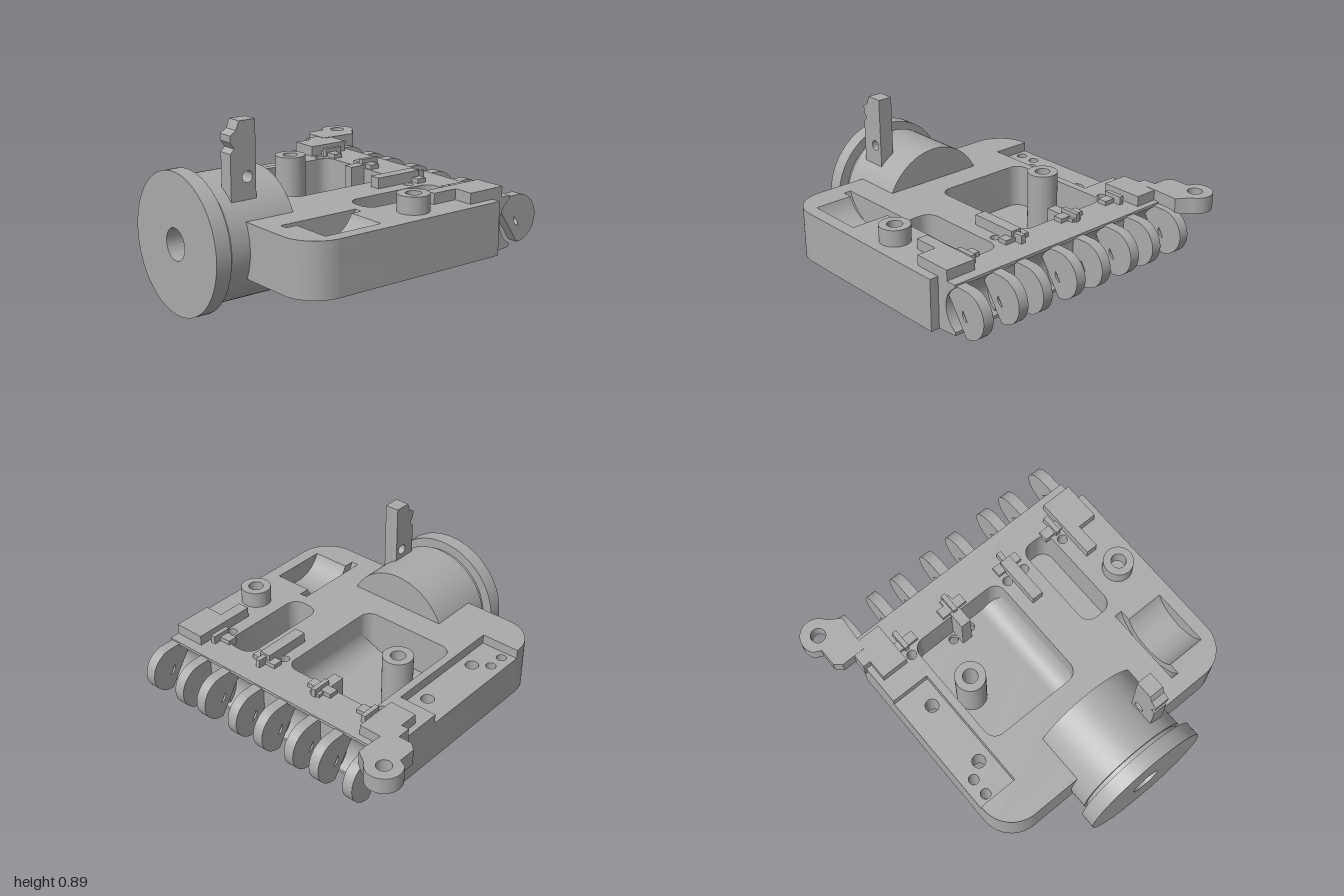
import * as THREE from 'three';
import { toCreasedNormals } from 'three/addons/utils/BufferGeometryUtils.js';

// Local frame: u = x, v = z; the whole assembly is turned 45 degrees at the end.
export function createModel() {
  const grey = new THREE.MeshStandardMaterial({ color: 0xaaaaaa });
  grey.name = 'plain grey';
  const model = new THREE.Group();
  model.name = 'hingedMechanism';
  const body = new THREE.Group();
  body.name = 'assembly';
  body.rotation.y = -Math.PI / 4;
  model.add(body);

  const add = (name, geo) => {
    const mesh = new THREE.Mesh(geo, grey);
    mesh.name = name;
    body.add(mesh);
    return mesh;
  };
  const extrude = (shape, depth) =>
    new THREE.ExtrudeGeometry(shape, { depth, bevelEnabled: false, curveSegments: 24 });
  // plan outline (u, -v) raised from y0 to y1
  const plan = (name, shape, y0, y1) =>
    add(name, toCreasedNormals(extrude(shape, y1 - y0).rotateX(-Math.PI / 2).translate(0, y0, 0), 0.6));
  // side profile (-v, y) swept from u0 to u1
  const sweep = (name, shape, u0, u1) =>
    add(name, toCreasedNormals(extrude(shape, u1 - u0).rotateY(Math.PI / 2).translate(u0, 0, 0), 0.6));
  const poly = (pts) => new THREE.Shape(pts.map(([u, v]) => new THREE.Vector2(u, -v)));
  const side = (pts) => new THREE.Shape(pts.map(([v, y]) => new THREE.Vector2(-v, y)));
  const circle = (x, y, r) => new THREE.Path().absarc(x, y, r, 0, Math.PI * 2, false);
  const drill = ([u, v, r]) => circle(u, -v, r);
  const box = (name, u0, u1, v0, v1, y0, y1) =>
    add(name, new THREE.BoxGeometry(u1 - u0, y1 - y0, v1 - v0)
      .translate((u0 + u1) / 2, (y0 + y1) / 2, (v0 + v1) / 2));
  const roundRect = (u0, u1, v0, v1, r) => {
    const s = new THREE.Shape();
    s.absarc(u1 - r, -v0 - r, r, 0, Math.PI / 2);
    s.absarc(u0 + r, -v0 - r, r, Math.PI / 2, Math.PI);
    s.absarc(u0 + r, -v1 + r, r, Math.PI, Math.PI * 1.5);
    s.absarc(u1 - r, -v1 + r, r, Math.PI * 1.5, Math.PI * 2);
    return s;
  };

  // Body plan: rounded front corners, optional side notch for the pad
  const U0 = -0.65, U1 = 0.745, V0 = -0.34, V1 = 0.75, R = 0.17, TOP = 0.458;
  const outline = (notched) => {
    const s = new THREE.Shape();
    s.moveTo(U1, -V0);
    s.lineTo(U0, -V0);
    if (notched) {
      s.lineTo(U0, 0.09);
      s.lineTo(-0.45, 0.09);
      s.lineTo(-0.45, -0.566);
      s.lineTo(U0, -0.566);
    }
    s.absarc(U0 + R, -V1 + R, R, Math.PI, Math.PI * 1.5);
    s.absarc(U1 - R, -V1 + R, R, Math.PI * 1.5, Math.PI * 2);
    return s;
  };
  const hinge = [-0.44, 0.157, 0.26, 0.508].map((u) => [u, -0.217, 0.024]);
  const floorHoles = [-0.194, -0.09].map((u) => [u, -0.217, 0.024]);
  const pad = [[-0.516, 0.03, 0.033], [-0.516, 0.382, 0.033]];
  const padSmall = [[-0.59, 0.435, 0.025], [-0.59, 0.523, 0.025]];
  const pockets = () => [
    roundRect(-0.41, 0.115, -0.25, 0.36, 0.06),
    roundRect(0.31, 0.47, -0.3, 0.2, 0.06),
    poly([[0.44, 0.255], [0.48, 0.255], [0.48, 0.31], [0.68, 0.31], [0.68, 0.61],
      [0.48, 0.61], [0.48, 0.665], [0.44, 0.665]]),
  ];

  // Base plate, with two nut windows underneath
  const base = outline(false);
  base.holes.push(...[...hinge, ...floorHoles, ...padSmall].map(drill),
    ...pad.map(([u, v]) => poly([[u - 0.043, v - 0.05], [u + 0.043, v - 0.05],
      [u + 0.043, v + 0.05], [u - 0.043, v + 0.05]])));
  plan('basePlate', base, 0.2, 0.24);
  // Walls around the pockets
  const wall = outline(false);
  wall.holes.push(...pockets(), ...[...hinge, ...pad, ...padSmall].map(drill));
  plan('bodyWalls', wall, 0.24, 0.41);
  const deck = outline(true);
  deck.holes.push(...pockets(), ...hinge.map(drill));
  plan('topDeck', deck, 0.41, TOP);

  // Curved fillet along the large pocket
  const fillet = new THREE.Shape();
  fillet.moveTo(0.115, 0.24);
  fillet.lineTo(0, 0.24);
  fillet.absarc(0, 0.355, 0.115, -Math.PI / 2, 0);
  add('pocketFillet', toCreasedNormals(extrude(fillet, 0.61).translate(0, 0, -0.25), 0.6));

  // Wheel trough: concave cradle with a wider slot for the rim
  const cradle = (name, half, u0, u1) => {
    const cy = 0.52, r = Math.hypot(half, cy - TOP), a = Math.atan2(cy - TOP, half);
    const s = new THREE.Shape();
    s.moveTo(-0.46 - half, 0.24);
    s.lineTo(-0.46 + half, 0.24);
    s.absarc(-0.46, cy, r, -a, -Math.PI + a, true);
    sweep(name, s, u0, u1);
  };
  cradle('wheelCradle', 0.15, 0.48, 0.68);
  cradle('rimSlot', 0.205, 0.44, 0.48);

  // Screw pegs
  const tube = (name, u, v, y0, y1) => {
    const s = new THREE.Shape().absarc(u, -v, 0.075, 0, Math.PI * 2);
    s.holes.push(circle(u, -v, 0.037));
    plan(name, s, y0, y1);
  };
  tube('rightPeg', -0.307, 0.067, 0.24, 0.54);
  tube('leftPeg', 0.617, 0.07, TOP, 0.54);

  // Hinge wall, hollowed to clear the mating knuckles
  const hollow = new THREE.Shape();
  hollow.moveTo(0.33, 0.2);
  hollow.lineTo(0.452, 0.21);
  hollow.absarc(0.515, 0.335, 0.125, Math.PI * 4 / 3, Math.PI * 2 / 3, true);
  hollow.lineTo(0.452, TOP);
  hollow.lineTo(0.33, TOP);
  sweep('hingeWall', hollow, -0.62, 0.7);

  // Knuckle plates with a pin hole
  for (const u of [-0.585, -0.39, -0.24, -0.05, 0.113, 0.318, 0.463, 0.665]) {
    const s = new THREE.Shape();
    s.moveTo(0.36, 0.22);
    s.absarc(0.515, 0.335, 0.115, -Math.PI / 2, Math.PI / 2);
    s.lineTo(0.36, 0.45);
    s.holes.push(circle(0.525, 0.335, 0.035));
    sweep('hingeKnuckle', s, u - 0.027, u + 0.027);
  }
  // Webs joining each pair of knuckles
  for (const u of [-0.315, 0.03, 0.39]) box('knuckleWeb', u - 0.07, u + 0.07, -0.44, -0.36, 0.24, 0.43);

  // Raised blocks and latch pins beside the hinge
  box('cornerBlock', -0.62, -0.48, -0.42, -0.2, TOP, 0.51);
  box('middleBlock', 0.178, 0.236, -0.3, -0.05, TOP, 0.51);
  box('endBlock', 0.54, 0.7, -0.4, -0.2, TOP, 0.51);
  box('endBlockStep', 0.54, 0.6, -0.2, -0.07, TOP, 0.51);
  box('pocketBridge', -0.17, -0.115, -0.34, -0.17, 0.24, 0.475);
  for (const u of [-0.44, -0.142, 0.208, 0.508]) {
    box('latchBar', u - 0.07, u + 0.07, -0.31, -0.26, 0.44, 0.48);
    box('latchPin', u - 0.012, u + 0.012, -0.35, -0.25, 0.44, 0.5);
  }

  // Corner tab with an eyelet
  const tab = poly([[-0.6, -0.37], [-0.73, -0.37], [-0.764, -0.4], [-0.764, -0.49]]);
  tab.absarc(-0.732, 0.562, 0.088, Math.PI * 1.2, Math.PI * 0.15, true);
  tab.lineTo(-0.59, 0.56);
  tab.holes.push(circle(-0.732, 0.562, 0.037));
  plan('eyeletTab', tab, 0.43, 0.512);
  box('tabFoot', -0.66, -0.6, -0.42, -0.3, 0.4, 0.51);

  // Flanged drum with a blind bore
  const drum = [[0, 0.5], [0.295, 0.5], [0.295, 0.845], [0.28, 0.845], [0.28, 0.87], [0.33, 0.87],
    [0.33, 0.945], [0.075, 0.945], [0.075, 0.62], [0, 0.62]].map(([r, v]) => new THREE.Vector2(r, v));
  add('flangedDrum', toCreasedNormals(
    new THREE.LatheGeometry(drum, 72).rotateX(Math.PI / 2).translate(0.04, 0.33, 0), 0.6));

  // Upright post with a chipped top
  const post = side([[0.656, 0.5], [0.786, 0.5], [0.786, 0.75], [0.765, 0.77], [0.786, 0.8],
    [0.786, 0.83], [0.755, 0.85], [0.74, 0.89], [0.656, 0.89]]);
  post.holes.push(circle(-0.7, 0.64, 0.026));
  sweep('uprightPost', post, 0.175, 0.25);

  return model;
}
